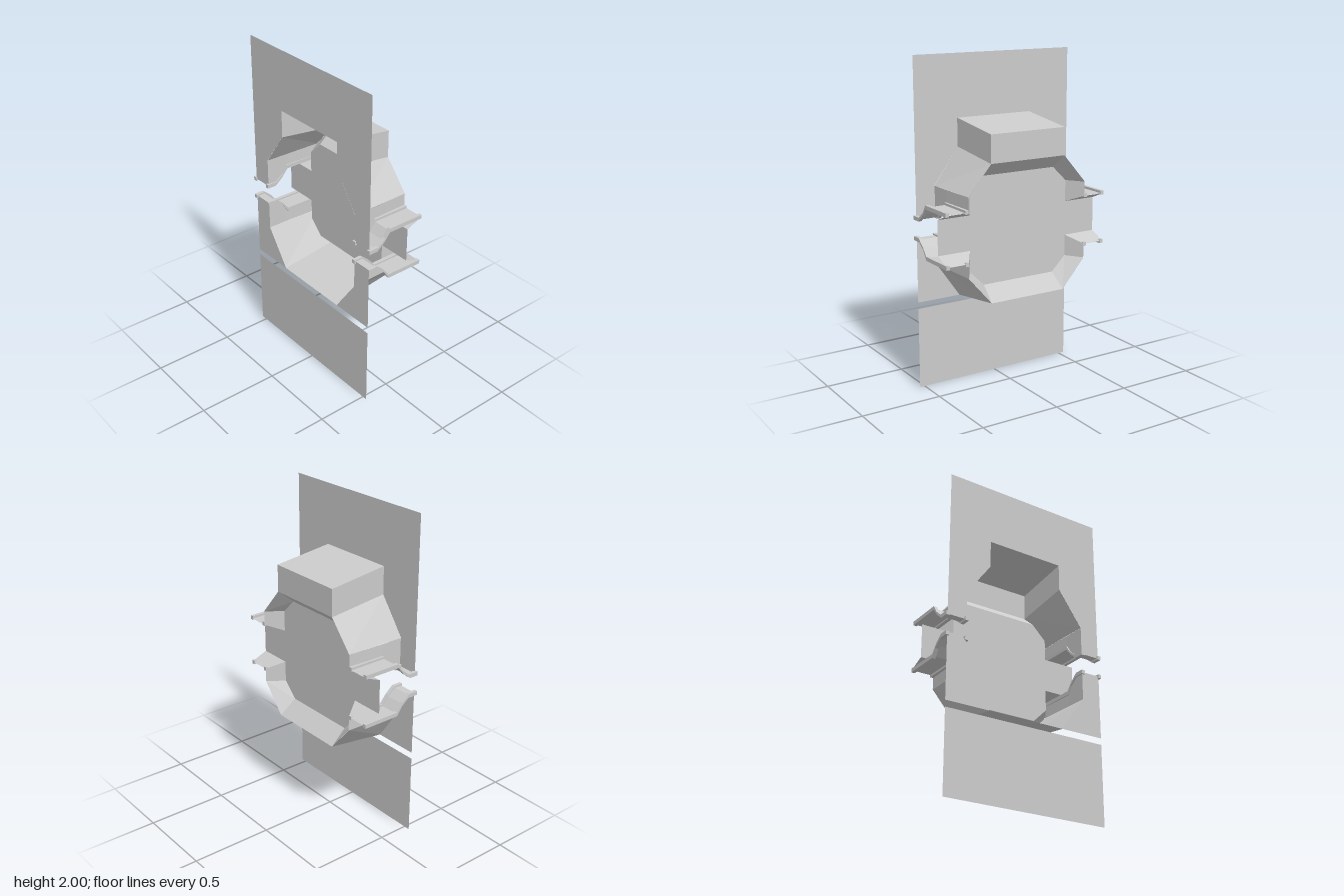
import * as THREE from 'three';

const mat = new THREE.MeshStandardMaterial({ color: 0xcccccc, side: THREE.DoubleSide, flatShading: true });
const FRONT = 0.185, BACK = -0.19, PLATE = -0.088, MID = 1;

function add(parent, name, geometry) {
  const mesh = new THREE.Mesh(geometry, mat);
  mesh.name = name;
  parent.add(mesh);
  return mesh;
}

// Ruled surface between two polylines of [x, y, z] points
function ruled(a, b) {
  const pos = [];
  for (let i = 0; i < a.length - 1; i++) {
    pos.push(...a[i], ...b[i], ...b[i + 1], ...a[i], ...b[i + 1], ...a[i + 1]);
  }
  const g = new THREE.BufferGeometry();
  g.setAttribute('position', new THREE.Float32BufferAttribute(pos, 3));
  g.computeVertexNormals();
  return g;
}

// Flat sheet facing +z
function sheet(points, z) {
  const shape = new THREE.Shape(points.map(([x, y]) => new THREE.Vector2(x, y)));
  return new THREE.ShapeGeometry(shape).translate(0, 0, z);
}

const atZ = (points, z) => points.map(([x, y]) => [x, y, z]);
const flipX = (points) => points.map(([x, y]) => [-x, y]).reverse();
const symmetric = (points) => [...points, ...flipX(points)];

// Curve of the side channels as [z, y]
const channel = [[0.195, 1.05], [0.137, 1.05], [0.088, 1.09], [0.047, 1.14], [-0.19, 1.14]];
const channelMid = channel.map(([z, y]) => [Math.min(z, FRONT), y + 0.01]);

// Rail of square section following the channel curve
function railGeometry(width) {
  const top = channel.map(([z, y], i) => [z - (i === 1 || i === 2 ? 0.008 : 0), y + 0.024]).reverse();
  const shape = new THREE.Shape([...channel, ...top].map(([z, y]) => new THREE.Vector2(z, y)));
  return new THREE.ExtrudeGeometry(shape, { depth: width, bevelEnabled: false })
    .rotateY(-Math.PI / 2).translate(width / 2, 0, 0);
}

// Side channels, lower bay walls and bevels: one half, mirrored above and below the middle
function buildHalf(name) {
  const half = new THREE.Group();
  half.name = name;
  for (const s of [1, -1]) {
    for (const x of [0.412, 0.537]) {
      add(half, 'channelRail', railGeometry(0.022)).position.x = s * x;
    }
    add(half, 'channelSheet', ruled(
      channelMid.map(([z, y]) => [s * 0.41, y, z]),
      channelMid.map(([z, y]) => [s * 0.54, y, z])));
    add(half, 'baySideWall', ruled(
      channelMid.map(([z, y]) => [s * (z < 0 ? 0.403 : 0.41), y, z]),
      channelMid.map(([z]) => [s * (z < 0 ? 0.403 : 0.41), 1.237, z])));
  }
  // Bevel running from the rear rim forward to the middle plate
  const rim = symmetric([[0.545, 1.148], [0.403, 1.148], [0.403, 1.235], [0.252, 1.41]]);
  const inner = symmetric([[0.545, 1.105], [0.335, 1.105], [0.335, 1.235], [0.243, 1.325]]);
  add(half, 'plateBevel', ruled(atZ(rim, BACK), atZ(inner, PLATE)));
  add(half, 'middlePlate', sheet([[0.545, MID], ...inner, [-0.545, MID]], PLATE));
  return half;
}

export function createModel() {
  const model = new THREE.Group();
  model.name = 'wallPanelWithBay';

  const upper = buildHalf('upperHalf');
  const lower = buildHalf('lowerHalf');
  lower.scale.y = -1;
  lower.position.y = 2 * MID;
  model.add(upper, lower);

  // Front panels around the bay opening
  const upperOpening = symmetric([[0.41, 1.06], [0.41, 1.24], [0.252, 1.455], [0.252, 1.625]]);
  add(model, 'upperFrontPanel', sheet(
    [[0.535, 1.06], ...upperOpening, [-0.535, 1.06], [-0.535, 2], [0.535, 2]], FRONT));
  for (const s of [1, -1]) {
    add(model, 'lowerFrontPanel', sheet(
      [[s * 0.535, 0.54], [s * 0.535, 0.94], [s * 0.41, 0.94], [s * 0.41, 0.763], [s * 0.252, 0.54]], FRONT));
  }
  add(model, 'basePanel', new THREE.PlaneGeometry(1.07, 0.5).translate(0, 0.25, FRONT));

  // Bay shoulders and the box on top
  add(model, 'bayUpperWall', ruled(
    atZ(symmetric([[0.41, 1.237], [0.252, 1.455], [0.252, 1.625]]), FRONT),
    atZ(symmetric([[0.403, 1.237], [0.252, 1.41], [0.252, 1.577]]), BACK)));
  add(model, 'boxBackWall', sheet([[-0.252, 1.41], [0.252, 1.41], [0.252, 1.577], [-0.252, 1.577]], BACK));

  // Bay floor with sloping flanks
  add(model, 'bayFloor', ruled(
    atZ(symmetric([[0.41, 0.763], [0.252, 0.54]]), FRONT),
    atZ(symmetric([[0.403, 0.763], [0.252, 0.59]]), BACK)));

  model.position.x = -0.004;
  return model;
}
